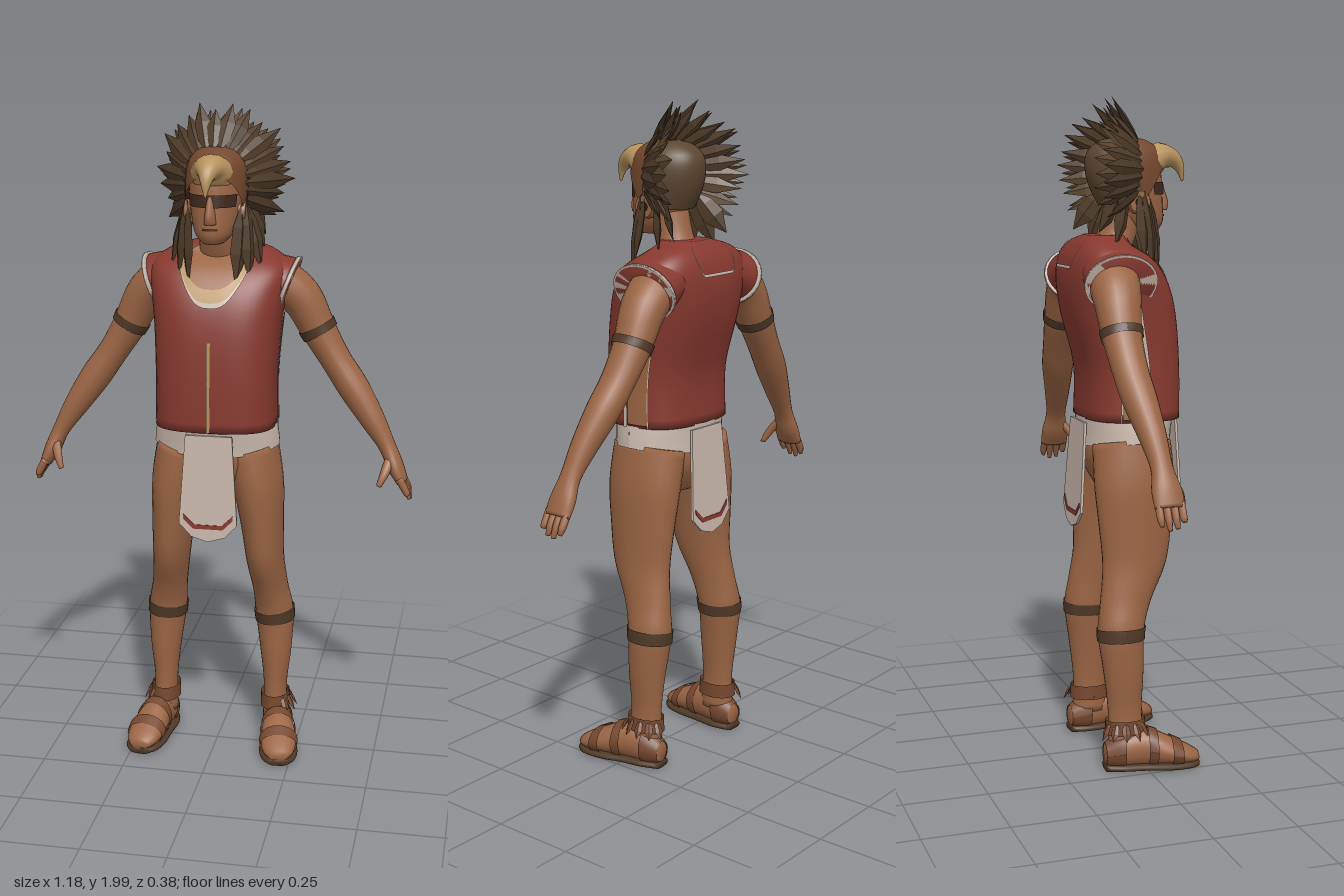
import * as THREE from 'three';
import { mergeVertices } from 'three/addons/utils/BufferGeometryUtils.js';

const PI = Math.PI, F = PI / 2;
const mat = (name, color) => {
  const m = new THREE.MeshStandardMaterial({ color, side: THREE.DoubleSide });
  m.name = name;
  return m;
};
const M = {
  skin: mat('skin', 0x9b6544), red: mat('red cloth', 0x87392f), cloth: mat('pale cloth', 0xc9b8ac),
  feather: mat('dark feather', 0x4e3b28), hood: mat('brown feather', 0x5c4630), tan: mat('tan', 0xb8945f),
  band: mat('dark band', 0x4f3826), leather: mat('leather', 0x75482f), paint: mat('face paint', 0x402a1e),
};
const Z = new THREE.Vector3(0, 0, 1), Y = new THREE.Vector3(0, 1, 0), X = new THREE.Vector3(1, 0, 0);

// Smoothly interpolated section [x, y, z, ru, rv] at index t
function section(S, t) {
  const n = S.length - 1, i = Math.min(n - 1, Math.max(0, Math.floor(t))), f = t - i;
  const [a, b, c, d] = [S[Math.max(0, i - 1)], S[i], S[i + 1], S[Math.min(n, i + 2)]];
  return b.map((v, k) => {
    const m0 = (c[k] - a[k]) / 2, m1 = (d[k] - v) / 2;
    return v + f * m0 + f * f * (3 * (c[k] - v) - 2 * m0 - m1) + f * f * f * (2 * (v - c[k]) + m0 + m1);
  });
}

// Skin over elliptical sections; a limited angle or t range gives a patch lying on the same surface
function loft(S, { t0 = 0, t1 = S.length - 1, a0 = 0, a1 = 2 * PI, grow = 0, hint = Z, pow = 1, n = 28, m } = {}) {
  const at = (q, a) => (typeof q === 'function' ? q(a) : q);
  const full = a1 - a0 > 6.28;
  m = m ?? Math.max(2, Math.ceil((at(t1, F) - at(t0, F)) * 4));
  const pos = [], idx = [], bend = v => Math.sign(v) * Math.abs(v) ** pow;
  const first = full ? -1 : 0, last = full ? m + 1 : m;
  for (let i = first; i <= last; i++) {
    const capped = i < 0 || i > m, f = Math.min(1, Math.max(0, i / m));
    for (let j = 0; j <= n; j++) {
      const a = a0 + (a1 - a0) * j / n, t = at(t0, a) + (at(t1, a) - at(t0, a)) * f;
      const s = section(S, t), p = new THREE.Vector3(...s);
      const e = Math.min(t + 0.05, S.length - 1), b = Math.max(t - 0.05, 0);
      const dir = new THREE.Vector3(...section(S, e)).sub(new THREE.Vector3(...section(S, b)));
      const u = dir.cross(hint).normalize();
      if (!capped) {
        p.addScaledVector(u, bend(Math.cos(a)) * (s[3] + grow));
        p.addScaledVector(hint, bend(Math.sin(a)) * (s[4] + grow));
      }
      pos.push(p.x, p.y, p.z);
    }
  }
  const w = n + 1;
  for (let i = 0; i < last - first; i++) for (let j = 0; j < n; j++) {
    const a = i * w + j, b = a + w;
    idx.push(a, b, a + 1, a + 1, b, b + 1);
  }
  let g = new THREE.BufferGeometry();
  g.setAttribute('position', new THREE.Float32BufferAttribute(pos, 3));
  g.setIndex(idx);
  g = mergeVertices(g, 1e-5);
  g.computeVertexNormals();
  return g;
}

export function createModel() {
  const root = new THREE.Group();
  root.name = 'figure';
  const add = (name, geo, material, parent = root) => {
    const o = new THREE.Mesh(geo, material);
    o.name = name;
    parent.add(o);
    return o;
  };
  // Flat pointed plume from p to q
  const plumeGeo = new THREE.LatheGeometry([[0, 0], [0.42, 0.3], [0.5, 0.6], [0, 1]].map(p => new THREE.Vector2(...p)), 4).toNonIndexed();
  plumeGeo.computeVertexNormals();
  const plume = (name, p, q, side, width, material) => {
    const d = q.clone().sub(p), n = side.clone().cross(d).normalize();
    const w = d.clone().cross(n).normalize();
    const mtx = new THREE.Matrix4().makeBasis(w.multiplyScalar(width), d, n.multiplyScalar(width * 0.35)).setPosition(p);
    add(name, plumeGeo.clone().applyMatrix4(mtx), material);
  };

  // Tunic with neckline, front slit and back collar
  const T = [[0, 1.05, 0.005, 0.18, 0.145], [0, 1.2, 0.005, 0.178, 0.145], [0, 1.35, -0.02, 0.187, 0.158],
    [0, 1.45, -0.04, 0.2, 0.15], [0, 1.52, -0.06, 0.205, 0.12], [0, 1.565, -0.08, 0.15, 0.075], [0, 1.59, -0.065, 0.07, 0.055]];
  const tp = { pow: 0.7, n: 56 };
  add('tunic', loft(T, tp), M.red);
  const neck = a => 2.8 + ((a - F) / 0.35) ** 2 * 1.4;
  const front = { ...tp, a0: F - 0.4, a1: F + 0.4, n: 24 };
  add('chest', loft(T, { ...front, t0: neck, t1: a => Math.max(neck(a), 5.6), grow: 0.006, m: 10 }), M.skin);
  add('neckTrim', loft(T, { ...front, t0: a => neck(a) - 0.16, t1: neck, grow: 0.007 }), M.cloth);
  add('breastOrnament', loft(T, { ...front, t0: neck, t1: a => neck(a) + 0.45, grow: 0.009 }), M.tan);
  add('frontSlit', loft(T, { ...tp, a0: F - 0.006, a1: F + 0.006, t0: 0.02, t1: 1.78, grow: 0.004, n: 2 }), M.tan);
  const collar = a => 3.6 + Math.max(0, Math.abs(a + F) - 0.2) * 7;
  add('backCollar', loft(T, { ...tp, a0: -F - 0.45, a1: -F + 0.45, t0: collar, t1: a => collar(a) + 0.13, grow: 0.006, n: 24 }), M.cloth);

  // Hips, belt and the two hanging flaps
  const H = [[0, 0.84, -0.01, 0.1, 0.08], [0, 0.92, -0.01, 0.178, 0.122], [0, 1.0, -0.005, 0.18, 0.128], [0, 1.08, 0, 0.168, 0.135]];
  add('hips', loft(H), M.skin);
  add('belt', loft(H, { t0: a => 1.85 - 0.25 * Math.sin(a) ** 2, t1: 2.6, a1: 6.28, grow: 0.01 }), M.cloth);
  const plate = (pts, depth) => new THREE.ExtrudeGeometry(
    new THREE.Shape(pts.map(p => new THREE.Vector2(...p))), { depth, bevelEnabled: false });
  for (const s of [1, -1]) {
    const flap = new THREE.Group();
    flap.name = s > 0 ? 'frontFlap' : 'backFlap';
    flap.position.set(0, 1.04, s > 0 ? 0.137 : -0.14);
    flap.rotation.set(s > 0 ? -0.04 : 0.07, s > 0 ? 0 : PI, 0, 'XYZ');
    add('flapCloth', plate([[-0.07, 0], [-0.088, -0.27], [-0.05, -0.31], [0, -0.325], [0.05, -0.31], [0.088, -0.27], [0.07, 0]], 0.008), M.cloth, flap);
    add('flapStripe', plate([[-0.075, -0.255], [-0.045, -0.285], [0.045, -0.285], [0.075, -0.255],
      [0.075, -0.24], [0.042, -0.272], [-0.042, -0.272], [-0.075, -0.24]], 0.002), M.red, flap).position.z = 0.008;
    root.add(flap);
  }

  for (const s of [1, -1]) {
    const side = s > 0 ? 'left' : 'right';
    const mx = S => S.map(([x, ...r]) => [x * s, ...r]);
    const span = (a, b) => (s > 0 ? { a0: a, a1: b } : { a0: PI - b, a1: PI - a });

    // Open tunic side with pale edges
    add(side + 'SideOpening', loft(T, { ...tp, ...span(-0.34, 0), t0: 0.1, t1: 2.2, grow: 0.004, n: 8 }), M.skin);
    for (const a of [-0.37, 0]) add(side + 'SideTrim', loft(T, { ...tp, ...span(a, a + 0.03), t0: 0, t1: 2.3, grow: 0.007, n: 3 }), M.cloth);

    // Cap sleeve
    const C = mx([[0.12, 1.49, -0.07, 0.07, 0.1], [0.208, 1.458, -0.078, 0.082, 0.104]]);
    add(side + 'Sleeve', loft(C), M.red);
    add(side + 'SleeveTrim', loft(C, { t0: 0.82, t1: 1, grow: 0.006, m: 2 }), M.cloth);

    // Arm, hand and armband
    const A = mx([[0.16, 1.48, -0.09, 0.065, 0.08], [0.235, 1.42, -0.1, 0.062, 0.07], [0.29, 1.32, -0.105, 0.053, 0.058],
      [0.345, 1.23, -0.1, 0.046, 0.052], [0.4, 1.15, -0.09, 0.047, 0.05], [0.46, 1.06, -0.075, 0.038, 0.04],
      [0.508, 0.98, -0.065, 0.026, 0.032], [0.535, 0.92, -0.06, 0.025, 0.044], [0.557, 0.875, -0.058, 0.018, 0.044]]);
    add(side + 'Arm', loft(A, { n: 20 }), M.skin);
    add(side + 'Armband', loft(A, { t0: 1.85, t1: 2.1, grow: 0.004, a1: 6.28 }), M.band);
    [0.012, 0, 0.004, 0.02].forEach((up, i) => {
      const z = -0.09 + i * 0.022;
      add(side + 'Finger', loft(mx([[0.55, 0.89, z, 0.012, 0.011], [0.572, 0.85, z, 0.011, 0.011],
        [0.583 - up * 0.3, 0.818 + up, z + 0.002, 0.006, 0.006]]), { n: 8 }), M.skin);
    });
    add(side + 'Thumb', loft(mx([[0.522, 0.95, -0.045, 0.016, 0.016], [0.508, 0.91, -0.015, 0.014, 0.014],
      [0.492, 0.872, 0.004, 0.008, 0.008]]), { n: 8 }), M.skin);

    // Leg with calf band
    const L = mx([[0.1, 0.98, -0.01, 0.085, 0.12], [0.125, 0.86, -0.01, 0.077, 0.123], [0.138, 0.74, -0.012, 0.065, 0.112],
      [0.147, 0.62, -0.018, 0.057, 0.098], [0.16, 0.51, -0.05, 0.054, 0.078], [0.171, 0.42, -0.068, 0.059, 0.07],
      [0.177, 0.3, -0.062, 0.049, 0.061], [0.177, 0.18, -0.058, 0.036, 0.052], [0.179, 0.07, -0.055, 0.04, 0.056]]);
    add(side + 'Leg', loft(L), M.skin);
    add(side + 'CalfBand', loft(L, { t0: 4.85, t1: 5.2, grow: 0.004, a1: 6.28 }), M.band);

    // Foot, sandal and ankle ties
    const P = mx([[0.18, 0.05, -0.122, 0.025, 0.03], [0.184, 0.06, -0.07, 0.042, 0.052], [0.194, 0.066, 0, 0.046, 0.058],
      [0.207, 0.052, 0.07, 0.055, 0.042], [0.216, 0.037, 0.13, 0.048, 0.026], [0.22, 0.029, 0.16, 0.026, 0.015]]);
    add(side + 'Foot', loft(P, { hint: Y, n: 20 }), M.skin);
    for (const [a, b] of [[0, 1.1], [2.1, 2.5], [3.1, 3.6]])
      add(side + 'SandalStrap', loft(P, { t0: a, t1: b, hint: Y, grow: 0.005, a1: 6.28, n: 20 }), M.leather);
    add(side + 'Sole', loft(P.map(([x, , z, r]) => [x, 0.011, z, r + 0.005, 0.011]), { hint: Y, n: 16, pow: 0.7 }), M.band);
    add(side + 'AnkleTie', loft(L, { t0: 7.2, t1: 7.55, grow: 0.009, a1: 6.28 }), M.leather);
    for (let i = 0; i < 5; i++) {
      const a = -1.2 + i * 0.5, c = Math.cos(a), d = Math.sin(a);
      plume(side + 'AnkleFringe', new THREE.Vector3(s * (0.177 + 0.04 * c), 0.155, -0.057 + 0.055 * d),
        new THREE.Vector3(s * (0.177 + 0.07 * c), 0.1, -0.057 + 0.085 * d), new THREE.Vector3(-d * s, 0, c), 0.025, M.leather);
    }
  }

  // Neck, head and face
  add('neck', loft([[0, 1.53, -0.05, 0.068, 0.062], [0, 1.6, -0.02, 0.055, 0.06], [0, 1.68, 0, 0.055, 0.06]]), M.skin);
  const D = [[0, 1.6, 0.065, 0.03, 0.04], [0, 1.63, 0.045, 0.057, 0.075], [0, 1.7, 0.02, 0.074, 0.097],
    [0, 1.77, 0.005, 0.08, 0.108], [0, 1.83, 0.0, 0.072, 0.098], [0, 1.865, 0, 0.04, 0.055], [0, 1.872, 0, 0.005, 0.005]];
  add('head', loft(D), M.skin);
  add('eyePaint', loft(D, { t0: 2.1, t1: 2.6, a0: 0.55, a1: PI - 0.55, grow: 0.004 }), M.paint);
  add('mouth', loft(D, { t0: 1.2, t1: 1.3, a0: F - 0.35, a1: F + 0.35, grow: 0.003 }), M.paint);
  add('nose', loft([[0, 1.66, 0.115, 0.018, 0.02], [0, 1.685, 0.115, 0.016, 0.024], [0, 1.74, 0.108, 0.009, 0.012]], { n: 12 }), M.skin);

  // Beaked hood
  add('hoodBack', loft(D, { t0: 1.7, a0: PI - 0.1, a1: 2 * PI + 0.1, grow: 0.014 }), M.hood);
  add('hoodFront', loft(D, { t0: a => 3.3 - 1.4 * Math.cos(a) ** 4, t1: 6, a0: 0, a1: PI, grow: 0.011, m: 12 }), M.leather);
  add('beak', loft([[0, 1.8, 0.07, 0.055, 0.068], [0, 1.818, 0.115, 0.04, 0.048], [0, 1.808, 0.155, 0.026, 0.028],
    [0, 1.782, 0.176, 0.014, 0.015], [0, 1.745, 0.184, 0.003, 0.003]], { hint: X, n: 16 }), M.tan);
  for (const s of [1, -1]) {
    const ear = add('earDisc', new THREE.CylinderGeometry(0.032, 0.036, 0.02, 12), M.skin);
    ear.position.set(s * 0.08, 1.685, 0.02);
    ear.rotation.z = -s * F;
    const dot = add('earDot', new THREE.CylinderGeometry(0.015, 0.015, 0.006, 10), M.paint);
    dot.position.set(s * 0.092, 1.685, 0.02);
    dot.rotation.z = F;
  }

  // Feather fan: two staggered rows swept back around the hood
  for (let row = 0; row < 2; row++) for (let i = 0; i < 19; i++) {
    const f = (-128 + (i + row * 0.5) * 256 / 18.5) * PI / 180, sx = Math.sin(f), cy = Math.cos(f), k = Math.abs(sx);
    const r = 0.205 + 0.014 * Math.cos(i * 2.4 + row) - row * 0.018;
    plume('fanFeather', new THREE.Vector3(sx * 0.075, 1.775 + cy * 0.08, 0.045 - row * 0.03),
      new THREE.Vector3(sx * r * 0.98, 1.78 + cy * r, -0.03 - 0.1 * k - row * 0.02),
      new THREE.Vector3(cy, -sx, 0), 0.048, row ? M.hood : M.feather);
  }
  // Hanging plumes beside the face and behind the shoulders
  for (const s of [1, -1]) [[0.08, 0.07, 1.47, 0.085], [0.09, 0.105, 1.49, 0.055], [0.085, 0.135, 1.52, 0.02], [0.08, 0.13, 1.56, -0.07], [0.075, 0.125, 1.6, -0.12]]
    .forEach(([x, tx, ty, tz]) => plume('hangingPlume', new THREE.Vector3(s * x, 1.72, tz * 0.4 + 0.01),
      new THREE.Vector3(s * tx, ty, tz), new THREE.Vector3(0.6, 0, -s * 0.8), 0.065, M.feather));

  // Cord necklaces
  [[0.066, 1.555], [0.078, 1.53]].forEach(([r, y]) => {
    const cord = add('necklace', new THREE.TorusGeometry(r, 0.009, 6, 28), M.leather);
    cord.position.set(0, y, -0.01);
    cord.rotation.x = F + 0.5;
  });
  return root;
}
